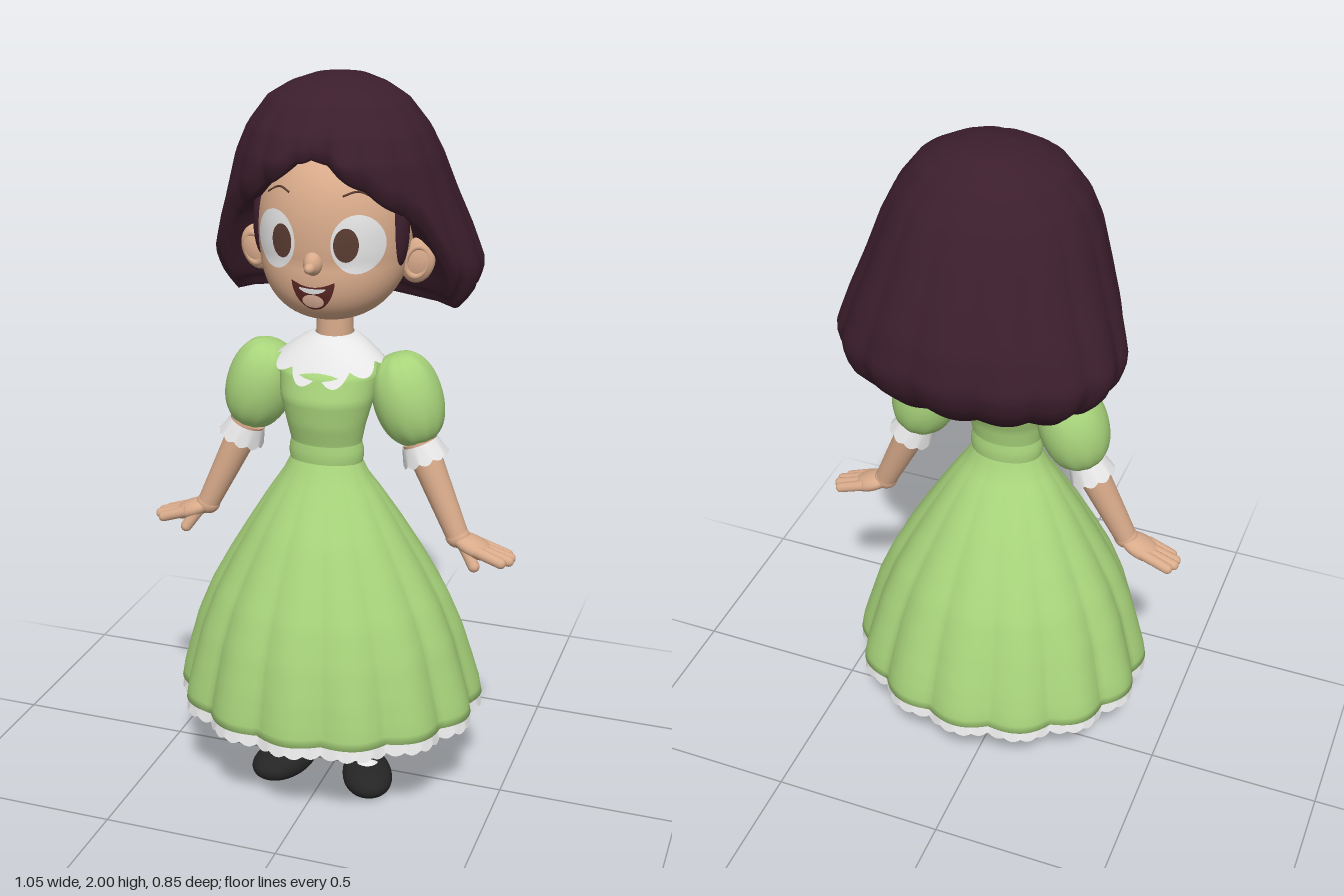
import * as THREE from 'three';

const mat = (name, color, side = THREE.FrontSide) => {
  const m = new THREE.MeshStandardMaterial({ color, side });
  m.name = name;
  return m;
};

// Closed surface from rings: fn(theta, v) gives a point, theta 0 is the front, v runs downwards
function rings(fn, nu, nv) {
  const pos = [], idx = [];
  for (let j = 0; j <= nv; j++)
    for (let i = 0; i < nu; i++) pos.push(...fn((i / nu) * Math.PI * 2, j / nv));
  for (let j = 0; j < nv; j++)
    for (let i = 0; i < nu; i++) {
      const k = (i + 1) % nu, a = j * nu + i, b = j * nu + k, c = a + nu, d = b + nu;
      idx.push(a, c, b, b, c, d);
    }
  const g = new THREE.BufferGeometry();
  g.setAttribute('position', new THREE.Float32BufferAttribute(pos, 3));
  g.setIndex(idx);
  g.computeVertexNormals();
  return g;
}

// Interpolates table rows whose first entry descends
function sample(rows, y) {
  let i = 0;
  while (i < rows.length - 2 && y < rows[i + 1][0]) i++;
  const a = rows[i], b = rows[i + 1];
  const t = Math.min(1, Math.max(0, (a[0] - y) / (a[0] - b[0])));
  return a.map((v, k) => v + (b[k] - v) * t);
}

// Point on an oval section; rows are [y, half width, front z, back z]
function oval(rows, y, a, k = 1) {
  const [, hx, zf, zb] = sample(rows, y);
  return [hx * k * Math.sin(a), y, (zf + zb) / 2 + ((zf - zb) / 2) * k * Math.cos(a)];
}

const HAIR = [[2, 0, -0.09, -0.09], [1.995, 0.07, -0.02, -0.15], [1.975, 0.13, 0.05, -0.19], [1.94, 0.188, 0.105, -0.23],
  [1.87, 0.242, 0.155, -0.285], [1.8, 0.275, 0.176, -0.323], [1.7, 0.308, 0.178, -0.368], [1.6, 0.345, 0.162, -0.407],
  [1.5, 0.377, 0.125, -0.425], [1.43, 0.377, 0.09, -0.416], [1.36, 0.35, 0.05, -0.375]];
// Lower edge of the hair by angle (negated degrees so rows descend)
const HAIR_EDGE = [[0, 1.825], [-12, 1.795], [-30, 1.735], [-45, 1.685], [-57, 1.63], [-65, 1.44], [-75, 1.395],
  [-95, 1.405], [-125, 1.385], [-180, 1.385]];
const SKIRT = [[1, 0.095, 0.14, 0], [0.95, 0.12, 0.165, -0.022], [0.9, 0.155, 0.195, -0.06], [0.8, 0.218, 0.255, -0.13],
  [0.7, 0.278, 0.303, -0.19], [0.6, 0.333, 0.348, -0.245], [0.5, 0.375, 0.38, -0.285], [0.4, 0.405, 0.403, -0.32],
  [0.33, 0.425, 0.415, -0.34], [0.285, 0.433, 0.42, -0.347]];
const BODICE = [[1.31, 0.05, 0.05, -0.05], [1.28, 0.112, 0.097, -0.07], [1.24, 0.14, 0.142, -0.066], [1.17, 0.129, 0.165, -0.037],
  [1.1, 0.11, 0.156, -0.01], [1.04, 0.097, 0.14, 0], [0.98, 0.1, 0.142, -0.004]];

const headSize = y => Math.pow(Math.max(0, 1 - Math.pow(Math.abs((y - 1.61) / 0.23), 2.3)), 1 / 2.3);
const headShift = y => -0.01 + 0.3 * Math.max(0, 1.55 - y);
function headZ(x, y) {
  const s = headSize(y);
  return headShift(y) + 0.188 * s * Math.sqrt(Math.max(0, 1 - (x / (0.207 * s)) ** 2));
}
// Thin face plate: a unit disc mapped by fn and laid on the face
function plate(fn, lift) {
  const g = new THREE.RingGeometry(0.001, 1, 40, 6), p = g.attributes.position;
  for (let i = 0; i < p.count; i++) {
    const [x, y] = fn(p.getX(i), p.getY(i));
    p.setXYZ(i, x, y, headZ(x, y) + lift);
  }
  g.computeVertexNormals();
  return g;
}

export function createModel() {
  const root = new THREE.Group();
  const hair = mat('dark plum hair', 0x3c1e2c), skin = mat('skin', 0xd8aa8a), green = mat('green dress', 0xa8d47b);
  const white = mat('white', 0xe6e6e6), lace = mat('white lace', 0xe6e6e6, THREE.DoubleSide);
  const black = mat('black shoe', 0x252525), brown = mat('brown iris', 0x5a3c32);
  const red = mat('dark mouth', 0x5a2723), pink = mat('tongue', 0xe6b79f);
  const add = (name, geo, material, parent = root) => {
    const m = new THREE.Mesh(geo, material);
    m.name = name;
    parent.add(m);
    return m;
  };
  const ball = (name, material, [x, y, z], [a, b, c], parent) => {
    const m = add(name, new THREE.SphereGeometry(1, 32, 24), material, parent);
    m.position.set(x, y, z);
    m.scale.set(a, b, c);
    return m;
  };
  // Tapered limb between two points
  const limb = (name, material, a, b, ra, rb) => {
    const p = new THREE.Vector3(...a), q = new THREE.Vector3(...b), d = q.clone().sub(p);
    const m = add(name, new THREE.CylinderGeometry(rb, ra, d.length(), 24), material);
    m.position.copy(p).add(q).multiplyScalar(0.5);
    m.quaternion.setFromUnitVectors(new THREE.Vector3(0, 1, 0), d.normalize());
    return m;
  };

  // Head, neck and face
  add('head', rings((a, v) => {
    const y = 1.61 + 0.23 * Math.cos(v * Math.PI), s = headSize(y);
    return [0.207 * s * Math.sin(a), y, headShift(y) + 0.188 * s * Math.cos(a)];
  }, 64, 48), skin);
  limb('neck', skin, [0, 1.27, 0], [0, 1.45, 0], 0.052, 0.046);
  ball('noseBridge', skin, [0, 1.555, 0.168], [0.026, 0.032, 0.034]);
  ball('nose', skin, [0, 1.548, 0.195], [0.015, 0.015, 0.022]);
  add('mouth', plate((x, y) => [x * 0.058, 1.488 + (y > 0 ? y * 0.006 : y * 0.058) + 0.02 * x * x], 0.004), red);
  add('teeth', plate((x, y) => [x * 0.036, 1.484 + y * 0.007 + 0.007 * x * x], 0.007), white);
  add('tongue', plate((x, y) => [x * 0.029, 1.456 + y * 0.019], 0.007), pink);
  for (const s of [-1, 1]) {
    add('eyeWhite', plate((x, y) => [s * 0.11 + x * 0.062, 1.607 + y * 0.076], 0.004), white);
    add('iris', plate((x, y) => [s * 0.086 + x * 0.03, 1.607 + y * 0.044], 0.008), brown);
    const brow = [[0.07, 1.727], [0.105, 1.737], [0.145, 1.717]].map(([x, y]) => new THREE.Vector3(s * x, y, headZ(x, y)));
    add('eyebrow', new THREE.TubeGeometry(new THREE.CatmullRomCurve3(brow), 16, 0.003, 6), brown);
    const ear = ball('ear', skin, [s * 0.222, 1.537, -0.015], [0.047, 0.062, 0.026]);
    ear.rotation.z = -s * 0.25;
    const rim = add('earRim', new THREE.TorusGeometry(0.032, 0.007, 8, 28), skin);
    rim.position.set(s * 0.226, 1.537, 0.004);
    rim.scale.set(0.9, 1.25, 1);
    rim.rotation.set(0, s * 0.25, -s * 0.25);
    ball('sideburn', hair, [s * 0.188, 1.63, 0.035], [0.024, 0.1, 0.036]);
  }

  // Bobbed hair with a front parting, waved locks and a folded-in underside
  ball('napeHair', hair, [0, 1.6, -0.07], [0.205, 0.195, 0.16]);
  const ROWS = 40;
  add('hair', rings((a, v) => {
    const t = Math.min(1, v * ROWS / (ROWS - 2)), under = Math.max(0, Math.round(v * ROWS) - (ROWS - 2));
    const th = a > Math.PI ? a - Math.PI * 2 : a, m = Math.abs(th);
    const lock = Math.abs(Math.cos(8 * m + 1.2 * t * Math.sin(m)));
    const edge = sample(HAIR_EDGE, -m * 180 / Math.PI)[1] - 0.012 * lock;
    const y = 2 - (2 - edge) * Math.pow(t, 1.6);
    const parting = 0.07 * Math.exp(-(((th - 0.08) / 0.1) ** 2)) * Math.sqrt(t);
    const tuck = (0.12 - 0.05 * Math.cos(m)) * Math.max(0, (t - 0.85) / 0.15) ** 2;
    const k = (1 + 0.035 * t * (lock - 0.8) - parting - tuck) * [1, 0.85, 0.4][under];
    const p = oval(HAIR, y, a, k);
    return [p[0] - 0.012, y + 0.012 * under, p[2]];
  }, 192, ROWS), hair);

  // Dress
  const skirtPoint = (a, y, k = 1) => {
    const t = Math.min(1, Math.max(0, (1 - y) / 0.7));
    return oval(SKIRT, y, a, k * (1.005 - 0.06 * Math.pow(t, 0.7) * (1 - Math.abs(Math.cos(7 * a)))));
  };
  add('skirt', rings((a, v) => {
    if (v === 1) return skirtPoint(a, 0.285, 0.96);
    return skirtPoint(a, 1 - 0.715 * Math.min(1, v * 32 / 31));
  }, 168, 32), green);
  add('hemLace', rings((a, v) => {
    const p = skirtPoint(a, 0.285, 0.97 + 0.03 * v);
    return [p[0], 0.292 - v * (0.033 + 0.01 * Math.abs(Math.sin(28 * a))), p[2]];
  }, 336, 4), lace);
  add('petticoat', rings((a, v) => {
    const p = skirtPoint(a, 0.285, Math.max(0.001, 0.97 * (1 - v)));
    return [p[0], 0.291 + 0.02 * v, p[2]];
  }, 168, 4), lace);
  add('bodice', rings((a, v) => oval(BODICE, 1.31 - v * 0.33, a), 48, 28), green);
  add('waistband', rings((a, v) => oval(BODICE, 1.045 - v * 0.06, a, [1, 1.05, 1.05, 1][Math.round(v * 3)]), 48, 3), green);
  // Petal collar, scalloped only towards its edge
  add('collar', rings((a, v) => {
    const u = v * (1 - 0.2 * (1 - Math.abs(Math.sin(5 * a))) * Math.pow(v, 5));
    const low = 1.21 + 0.05 * Math.sin(a) ** 2;
    return [(0.052 + 0.105 * u) * Math.sin(a), 1.328 + (low - 1.328) * Math.pow(u, 1.4),
      0.03 * u + (0.054 + 0.074 * u) * Math.cos(a)];
  }, 160, 14), lace);

  for (const s of [-1, 1]) {
    // Puffed sleeve with gathers and a scalloped cuff
    const sleeve = add('puffSleeve', rings((a, v) => {
      const f = v * Math.PI, r = Math.pow(Math.sin(f), 0.75) * (1 + 0.025 * Math.cos(10 * a) * Math.cos(f) ** 2);
      return [0.094 * r * Math.sin(a), 0.128 * Math.cos(f), 0.097 * r * Math.cos(a)];
    }, 80, 28), green);
    sleeve.position.set(s * 0.21, 1.163, 0.012);
    sleeve.rotation.z = s * 0.3;
    const cuff = add('cuff', rings((a, v) => {
      const r = 0.05 + 0.014 * v;
      return [r * Math.sin(a), 0.025 - v * (0.045 + 0.01 * Math.abs(Math.sin(5 * a))), r * Math.cos(a)];
    }, 80, 5), lace);
    cuff.position.set(s * 0.257, 1.025, 0.022);
    cuff.rotation.z = s * 0.4;

    // Arm and open hand
    limb('forearm', skin, [s * 0.245, 1.05, 0.02], [s * 0.365, 0.795, 0.042], 0.046, 0.031);
    ball('wrist', skin, [s * 0.365, 0.795, 0.042], [0.034, 0.031, 0.032]);
    const palm = ball('palm', skin, [s * 0.41, 0.773, 0.042], [0.064, 0.026, 0.044]);
    palm.rotation.z = -s * 0.4;
    const digit = (name, a, b, r) => {
      limb(name, skin, a, b, r * 1.1, r);
      ball(name + 'Tip', skin, b, [r, r, r]);
    };
    for (let i = 0; i < 4; i++)
      digit('finger', [s * 0.42, 0.772, 0.014 + i * 0.019], [s * (0.497 + [0, 0.012, 0.012, -0.005][i]), 0.746, 0.008 + i * 0.021], 0.0145);
    digit('thumb', [s * 0.39, 0.775, 0.06], [s * 0.42, 0.729, 0.076], 0.016);

    // Stockinged leg and strapped shoe
    limb('stocking', white, [s * 0.105, 0.04, 0.03], [s * 0.105, 0.31, 0.03], 0.045, 0.059);
    const foot = new THREE.Group();
    foot.name = 'foot';
    foot.position.set(s * 0.123, 0, 0.077);
    foot.rotation.y = s * 0.42;
    root.add(foot);
    add('shoe', rings((a, v) => {
      const f = v * Math.PI, r = Math.pow(Math.sin(f), 0.6), z = Math.cos(a) * r;
      return [0.07 * r * Math.sin(a) * (1 + 0.15 * z), Math.max(0, 0.031 + 0.042 * Math.cos(f)), 0.118 * z];
    }, 40, 20), black, foot);
    ball('instep', white, [0, 0.048, 0], [0.045, 0.035, 0.056], foot);
    const strap = add('shoeStrap', new THREE.TorusGeometry(0.049, 0.009, 8, 24, Math.PI), black, foot);
    strap.position.set(0, 0.034, 0.008);
  }
  return root;
}
